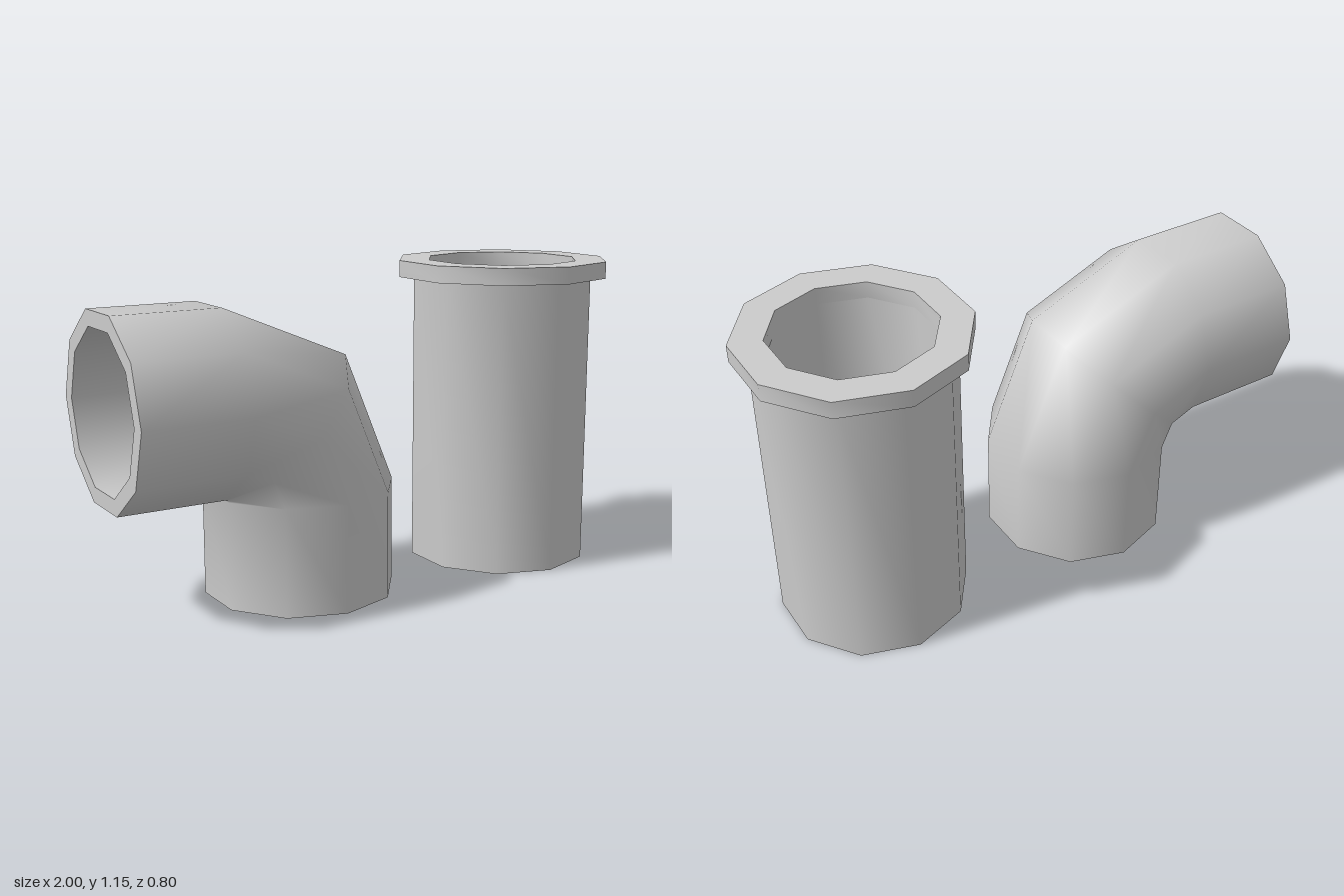
import * as THREE from 'three';
import { toCreasedNormals } from 'three/addons/utils/BufferGeometryUtils.js';

const SIDES = 10, OUTER = 0.345, BORE = 0.286, FLANGE = 0.402;
const material = new THREE.MeshStandardMaterial({ color: 0xcccccc });

function part(name, geometry) {
  const mesh = new THREE.Mesh(toCreasedNormals(geometry, Math.PI / 3), material);
  mesh.name = name;
  return mesh;
}

// Ten-sided hollow tube from y0 to y1
function tube(radius, y0, y1) {
  const profile = [[radius, y0], [radius, y1], [BORE, y1], [BORE, y0], [radius, y0]];
  return new THREE.LatheGeometry(profile.map(p => new THREE.Vector2(...p)), SIDES);
}

// Hollow bent pipe: sections run up the outside, then back down the bore
function elbow() {
  const cx = -0.61, cy = 0.385, bend = 0.338;
  const stations = [{ x: cx + bend, y: 0, a: 0 }];
  for (let i = 0; i <= 2; i++) {
    const a = i * Math.PI / 4;
    stations.push({ x: cx + bend * Math.cos(a), y: cy + bend * Math.sin(a), a });
  }
  stations.push({ x: -1, y: cy + bend, a: Math.PI / 2 });

  const rings = [
    ...stations.map(s => ({ ...s, r: OUTER })),
    ...stations.slice().reverse().map(s => ({ ...s, r: BORE })),
  ];
  const positions = [], index = [];
  rings.forEach((s, j) => {
    const next = (j + 1) % rings.length;
    for (let i = 0; i < SIDES; i++) {
      const phi = i / SIDES * Math.PI * 2;
      const u = s.r * Math.sin(phi);
      positions.push(s.x + u * Math.cos(s.a), s.y + u * Math.sin(s.a), s.r * Math.cos(phi));
      const k = (i + 1) % SIDES;
      const a = j * SIDES + i, b = j * SIDES + k, c = next * SIDES + k, d = next * SIDES + i;
      index.push(a, b, d, b, c, d);
    }
  });
  const geometry = new THREE.BufferGeometry();
  geometry.setAttribute('position', new THREE.Float32BufferAttribute(positions, 3));
  geometry.setIndex(index);
  return geometry;
}

export function createModel() {
  const model = new THREE.Group();
  model.name = 'pipes';

  // Straight pipe with a collar around its upper end
  const straight = new THREE.Group();
  straight.name = 'straightPipe';
  straight.position.x = 0.617;
  straight.add(part('pipeBody', tube(OUTER, 0, 1.085)));
  straight.add(part('flange', tube(FLANGE, 1.085, 1.147)));
  model.add(straight);

  // Right-angle bend
  model.add(part('elbowPipe', elbow()));
  return model;
}
